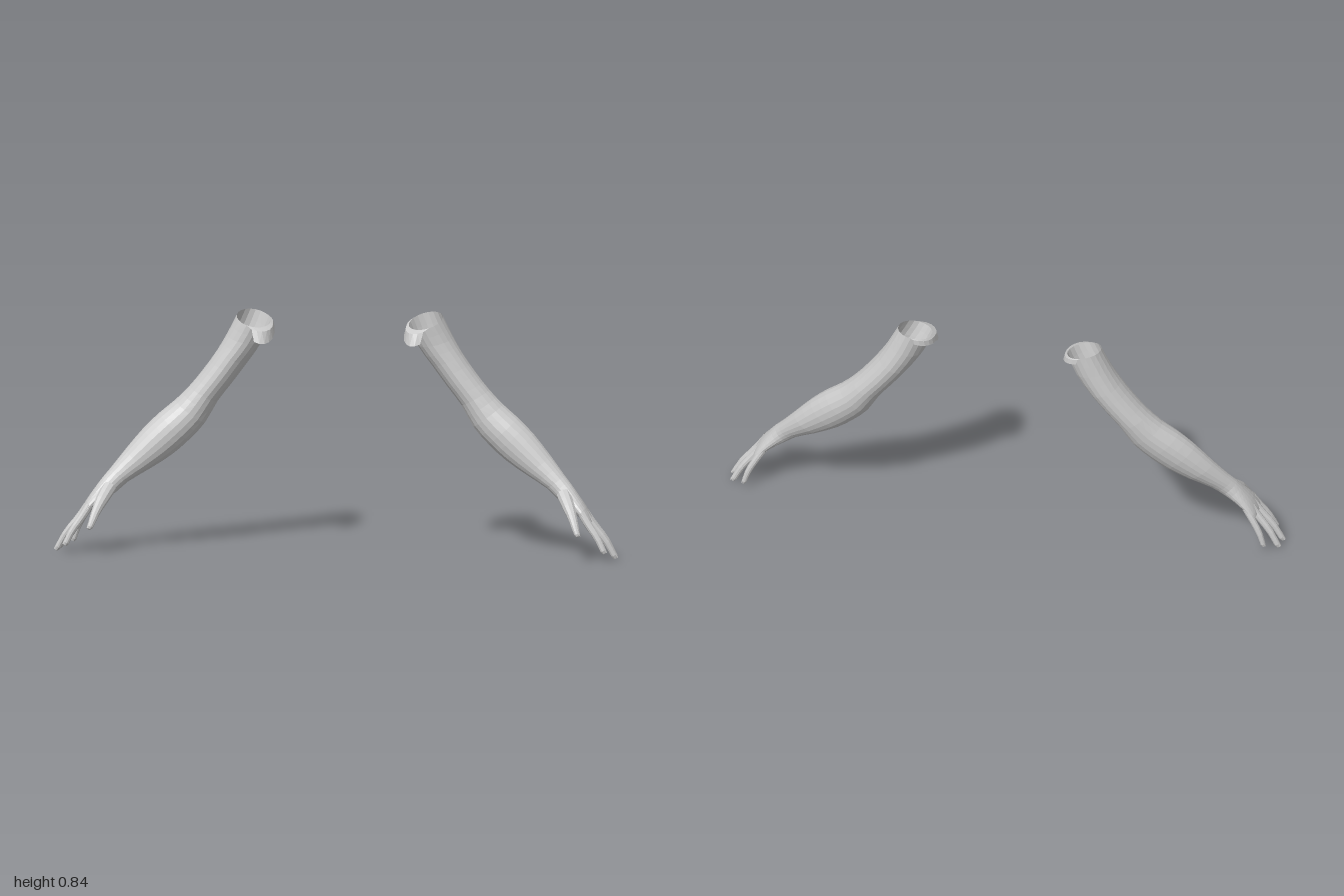
import * as THREE from 'three';

const V = (x, y, z) => new THREE.Vector3(x, y, z);
const skin = new THREE.MeshStandardMaterial({ color: 0xcccccc, flatShading: true, side: THREE.DoubleSide });

// Skin a surface over rings of points; s = -1 mirrors it to the other side.
function loft(name, rings, s, { closed = true, cap = false } = {}) {
  const n = rings[0].length, pos = [], idx = [];
  const face = (a, b, c) => (s > 0 ? idx.push(a, b, c) : idx.push(a, c, b));
  for (const ring of rings) for (const p of ring) pos.push(p.x * s, p.y, p.z);
  for (let j = 0; j < rings.length - 1; j++) {
    for (let k = 0; k < (closed ? n : n - 1); k++) {
      const a = j * n + k, b = j * n + (k + 1) % n;
      face(a, b, a + n);
      face(b, b + n, a + n);
    }
  }
  if (cap) {
    const last = rings[rings.length - 1], start = (rings.length - 1) * n;
    const mid = last.reduce((m, p) => m.add(p), V(0, 0, 0)).divideScalar(n);
    pos.push(mid.x * s, mid.y, mid.z);
    for (let k = 0; k < n; k++) face(start + k, start + (k + 1) % n, rings.length * n);
  }
  const g = new THREE.BufferGeometry();
  g.setAttribute('position', new THREE.Float32BufferAttribute(pos, 3));
  g.setIndex(idx);
  g.computeVertexNormals();
  const mesh = new THREE.Mesh(g, skin);
  mesh.name = name;
  return mesh;
}

// Arm sections from shoulder to knuckles: outer x, y, inner x, y, centre z, half depth
const SECTIONS = [
  [0.365, 0.833, 0.245, 0.810, -0.085, 0.079],
  [0.400, 0.765, 0.275, 0.740, -0.087, 0.075],
  [0.435, 0.705, 0.330, 0.660, -0.086, 0.073],
  [0.485, 0.635, 0.382, 0.590, -0.081, 0.070],
  [0.530, 0.580, 0.432, 0.525, -0.075, 0.067],
  [0.580, 0.530, 0.475, 0.450, -0.064, 0.065],
  [0.635, 0.485, 0.530, 0.390, -0.050, 0.064],
  [0.692, 0.430, 0.590, 0.338, -0.036, 0.058],
  [0.755, 0.355, 0.665, 0.290, -0.017, 0.048],
  [0.805, 0.292, 0.742, 0.245, 0.006, 0.038],
  [0.832, 0.260, 0.780, 0.212, 0.020, 0.037],
  [0.860, 0.222, 0.818, 0.185, 0.030, 0.046],
  [0.885, 0.186, 0.852, 0.158, 0.038, 0.055],
  [0.904, 0.152, 0.880, 0.133, 0.040, 0.058],
  [0.909, 0.138, 0.893, 0.126, 0.040, 0.052],
];
const SIDES = 20;

function armRings() {
  const curve = (f) => new THREE.CatmullRomCurve3(SECTIONS.map(f));
  const outer = curve((r) => V(r[0], r[1], 0));
  const inner = curve((r) => V(r[2], r[3], 0));
  const depth = curve((r) => V(r[4], r[5], 0));
  const steps = (SECTIONS.length - 1) * 2, rings = [];
  for (let j = 0; j <= steps; j++) {
    const t = j / steps, o = outer.getPoint(t), i = inner.getPoint(t), d = depth.getPoint(t);
    const tilt = 0.018 * Math.max(0, 1 - j / 4); // slanted shoulder opening
    const ring = [];
    for (let k = 0; k < SIDES; k++) {
      const a = (k / SIDES) * Math.PI * 2, sin = Math.sin(a);
      const p = i.clone().lerp(o, 0.5 + 0.5 * Math.cos(a));
      ring.push(V(p.x, p.y - tilt * sin, d.x + d.y * sin));
    }
    rings.push(ring);
  }
  return rings;
}

// Flared lip hanging from the body side of the opening, longest at the front
function lipRings(rim) {
  const rows = [[], [], []];
  for (let k = 4; k <= 15; k++) {
    const front = Math.max(0, Math.sin((k / SIDES) * Math.PI * 2));
    const w = 0.45 + 0.55 * front;
    rows[0].push(rim[k].clone());
    rows[1].push(rim[k].clone().add(V(-0.02 * w, -0.012 * w, 0.018 * front)));
    rows[2].push(rim[k].clone().add(V(-0.03 * w, -0.055 * w, 0.035 * front * front)));
  }
  return rows;
}

// Digits: path of [x, y, z, radius] from root to tip
const DIGITS = {
  thumb: [[0.805, 0.230, 0.040, 0.026], [0.826, 0.195, 0.084, 0.023], [0.845, 0.155, 0.120, 0.016],
    [0.856, 0.125, 0.141, 0.013], [0.866, 0.098, 0.157, 0.009]],
  indexFinger: [[0.872, 0.170, 0.078, 0.015], [0.897, 0.130, 0.088, 0.014], [0.932, 0.080, 0.101, 0.012], [0.956, 0.031, 0.110, 0.010]],
  middleFinger: [[0.880, 0.165, 0.055, 0.015], [0.909, 0.125, 0.057, 0.014], [0.956, 0.068, 0.060, 0.012], [0.991, 0.006, 0.061, 0.010]],
  ringFinger: [[0.880, 0.165, 0.025, 0.015], [0.908, 0.125, 0.023, 0.014], [0.952, 0.068, 0.018, 0.012], [0.984, 0.007, 0.015, 0.010]],
  littleFinger: [[0.870, 0.168, -0.002, 0.014], [0.893, 0.130, -0.010, 0.012], [0.921, 0.078, -0.016, 0.011], [0.938, 0.025, -0.020, 0.008]],
};

function digit(name, path, s) {
  const group = new THREE.Group();
  group.name = name;
  const curve = new THREE.CatmullRomCurve3(path.map((p) => V(p[0], p[1], p[2])));
  const radii = new THREE.CatmullRomCurve3(path.map((p) => V(p[3], 0, 0)));
  const back = V(0.85, 0.53, 0);
  const frame = (t) => {
    const d = curve.getTangent(t);
    const u = back.clone().addScaledVector(d, -back.dot(d)).normalize();
    return { p: curve.getPoint(t), r: radii.getPoint(t).x, d, u, w: d.clone().cross(u) };
  };
  const rings = [], n = 10;
  for (const t of [0, 0.14, 0.28, 0.42, 0.56, 0.7, 0.84, 0.94, 1]) {
    const { p, r, u, w } = frame(t), q = t === 1 ? r * 0.6 : r;
    rings.push(Array.from({ length: n }, (_, k) => {
      const a = (k / n) * Math.PI * 2;
      return p.clone().addScaledVector(u, q * Math.cos(a)).addScaledVector(w, q * Math.sin(a));
    }));
  }
  group.add(loft(name + 'Flesh', rings, s, { cap: true }));

  // Nail: a thin plate curved over the back of the tip
  const nail = [0.86, 0.93, 1].map((t) => {
    const { p, r, u, w } = frame(t);
    return [-0.8, -0.4, 0, 0.4, 0.8].map((a) => p.clone()
      .addScaledVector(u, r * 1.06 * Math.cos(a)).addScaledVector(w, r * 1.06 * Math.sin(a)));
  });
  group.add(loft(name + 'Nail', nail, s, { closed: false }));
  return group;
}

function arm(name, s) {
  const group = new THREE.Group(), rings = armRings();
  group.name = name;
  group.add(loft('armAndPalm', rings, s, { cap: true }));
  group.add(loft('shoulderLip', lipRings(rings[0]), s, { closed: false }));
  for (const [key, path] of Object.entries(DIGITS)) group.add(digit(key, path, s));
  return group;
}

export function createModel() {
  const model = new THREE.Group();
  model.name = 'pairOfArms';
  model.add(arm('leftArm', 1), arm('rightArm', -1));
  return model;
}
